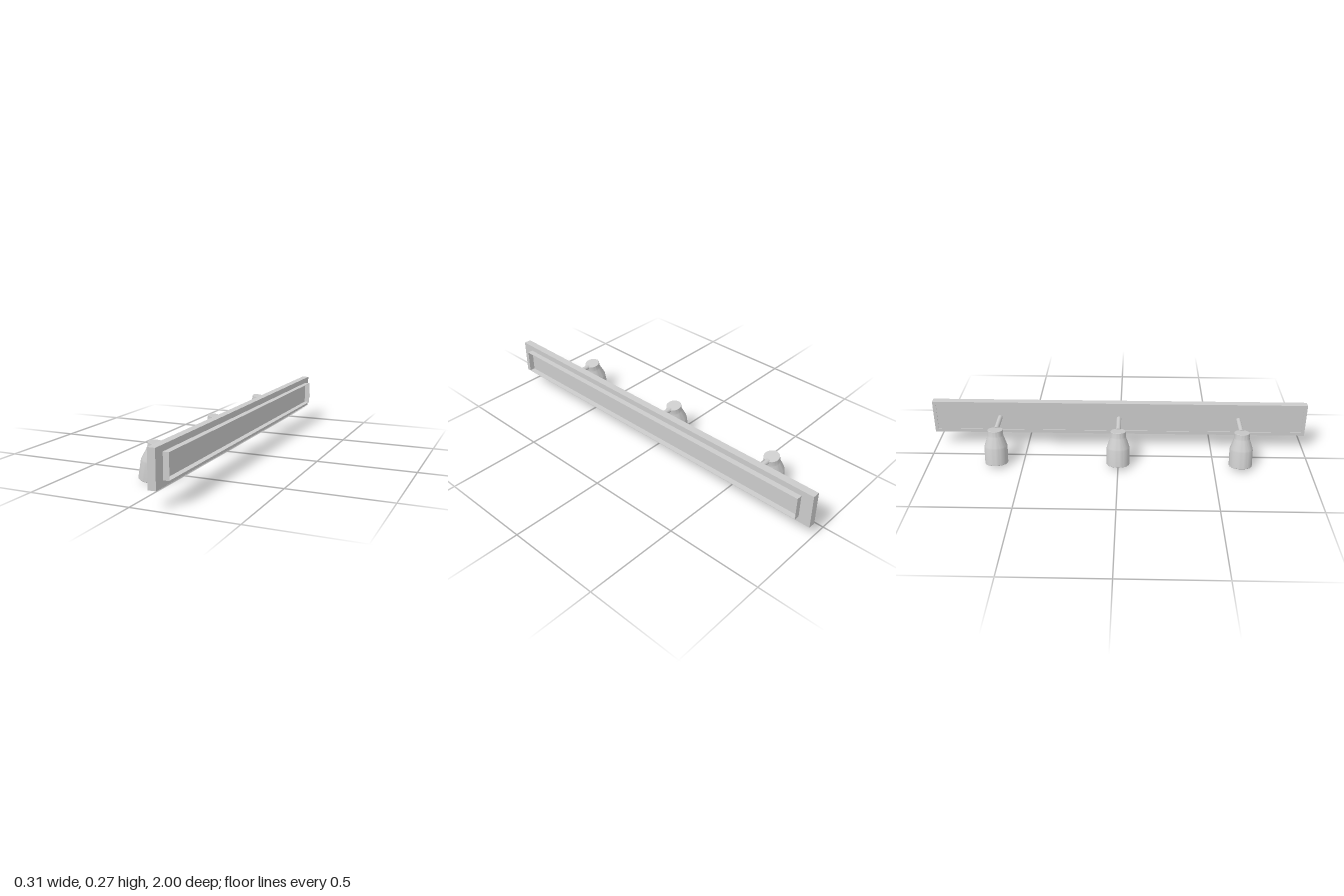
import * as THREE from 'three';
import { toCreasedNormals } from 'three/addons/utils/BufferGeometryUtils.js';

const material = new THREE.MeshStandardMaterial({ color: 0xcccccc, side: THREE.DoubleSide });

function addMesh(parent, name, geometry, x = 0, y = 0, z = 0) {
  const mesh = new THREE.Mesh(geometry, material);
  mesh.name = name;
  mesh.position.set(x, y, z);
  parent.add(mesh);
  return mesh;
}

function rectangle(path, width, height) {
  const w = width / 2, h = height / 2;
  path.moveTo(-w, -h);
  path.lineTo(w, -h);
  path.lineTo(w, h);
  path.lineTo(-w, h);
  path.closePath();
  return path;
}

// Rectangular rim of the given wall thickness, lying in the zy plane, deep along +x
function rim(length, height, wall, depth) {
  const shape = rectangle(new THREE.Shape(), length, height);
  shape.holes.push(rectangle(new THREE.Path(), length - 2 * wall, height - 2 * wall));
  return new THREE.ExtrudeGeometry(shape, { depth, bevelEnabled: false }).rotateY(Math.PI / 2);
}

// Lamp head outline from the lens at the bottom to the closed cap
const headProfile = [
  [0, 0], [0.0585, 0], [0.06, 0.002], [0.06, 0.089], [0.0585, 0.097],
  [0.0415, 0.147], [0.04, 0.154], [0.04, 0.1795], [0.0385, 0.181], [0, 0.181],
].map(([r, h]) => new THREE.Vector2(r, h));

function createSpot() {
  const spot = new THREE.Group();
  spot.name = 'spotlight';

  const head = addMesh(spot, 'lampHead',
    toCreasedNormals(new THREE.LatheGeometry(headProfile, 48), 0.6), -0.098, 0.011, 0);
  head.rotation.z = -0.178;

  // Arm from the cap of the head into the wall rail
  const arm = addMesh(spot, 'arm', new THREE.CylinderGeometry(0.0125, 0.0125, 0.135, 24), 0.03, 0.1765, 0);
  arm.rotation.z = Math.PI / 2;
  return spot;
}

export function createModel() {
  const model = new THREE.Group();
  model.name = 'wallSpotlightRail';
  const railY = 0.1765;

  // Rail: outer frame with a slightly sunken face panel
  addMesh(model, 'railFrame', rim(2, 0.181, 0.018, 0.038), 0.091, railY, 0);
  addMesh(model, 'railPanel', new THREE.BoxGeometry(0.035, 0.145, 1.964), 0.1115, railY, 0);

  // Open, thin-walled mounting box on the wall side
  addMesh(model, 'mountingBox', rim(1.876, 0.122, 0.002, 0.029), 0.129, railY, 0);

  for (const z of [-0.64, 0, 0.64]) {
    const spot = createSpot();
    spot.position.z = z;
    model.add(spot);
  }
  return model;
}
